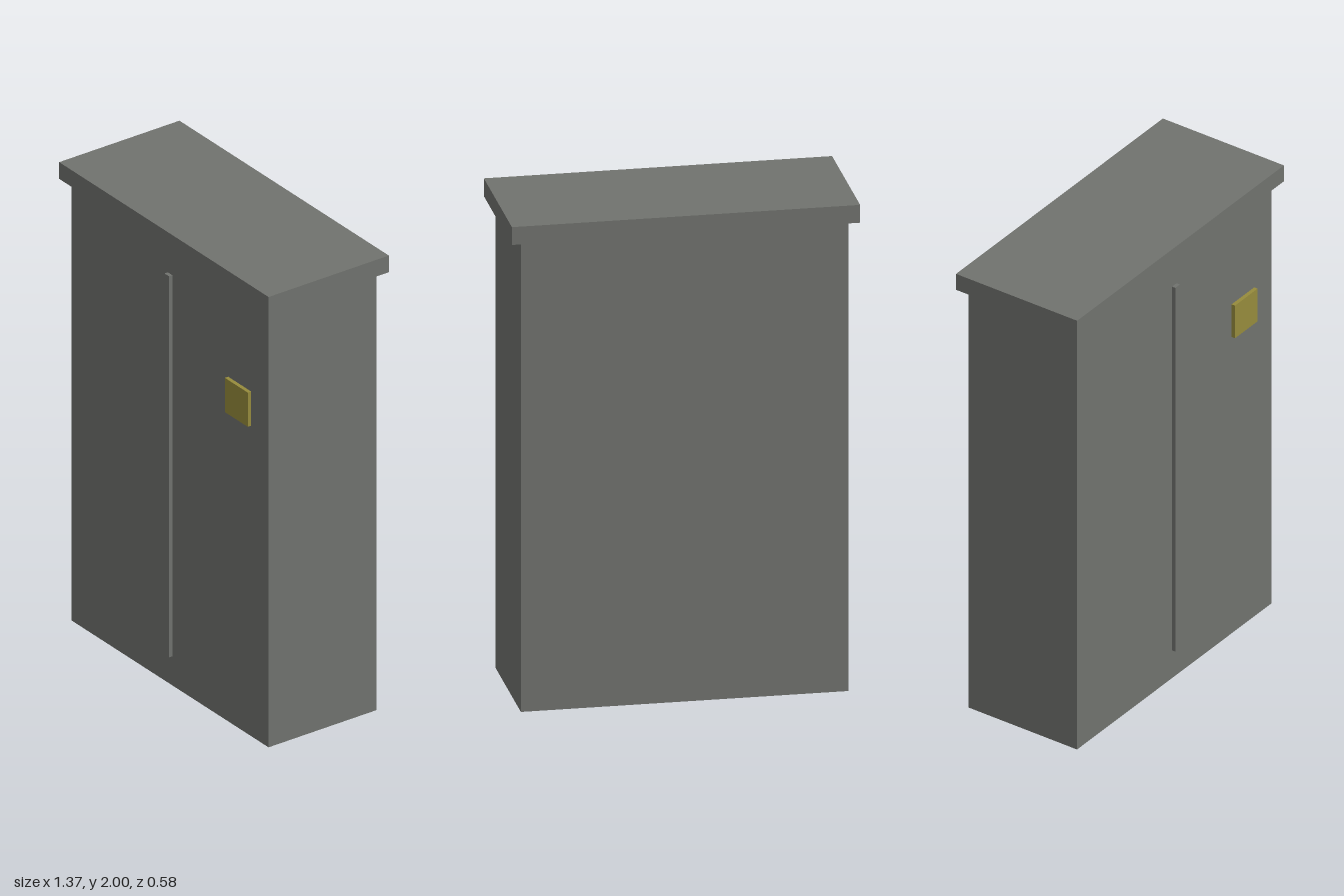
import * as THREE from 'three';

const grey = new THREE.MeshStandardMaterial({ color: 0x70726e });
grey.name = 'grey paint';
const yellow = new THREE.MeshStandardMaterial({ color: 0x968b3c });
yellow.name = 'yellow sign';

// Box given by its extents along each axis
function box(name, material, [x0, x1], [y0, y1], [z0, z1]) {
  const mesh = new THREE.Mesh(new THREE.BoxGeometry(x1 - x0, y1 - y0, z1 - z0), material);
  mesh.position.set((x0 + x1) / 2, (y0 + y1) / 2, (z0 + z1) / 2);
  mesh.name = name;
  return mesh;
}

export function createModel() {
  const group = new THREE.Group();
  group.name = 'utilityCabinet';
  group.add(
    // Cabinet with an overhanging roof set just above it
    box('cabinetBody', grey, [-0.644, 0.644], [0, 1.918], [-0.258, 0.258]),
    box('roof', grey, [-0.685, 0.685], [1.927, 2], [-0.288, 0.288]),
    // Strip covering the gap between the doors, and the warning plate
    box('doorStrip', grey, [-0.015, 0.015], [0.128, 1.797], [0.25, 0.274]),
    box('warningPlate', yellow, [0.38, 0.53], [1.36, 1.51], [0.255, 0.274])
  );
  return group;
}
